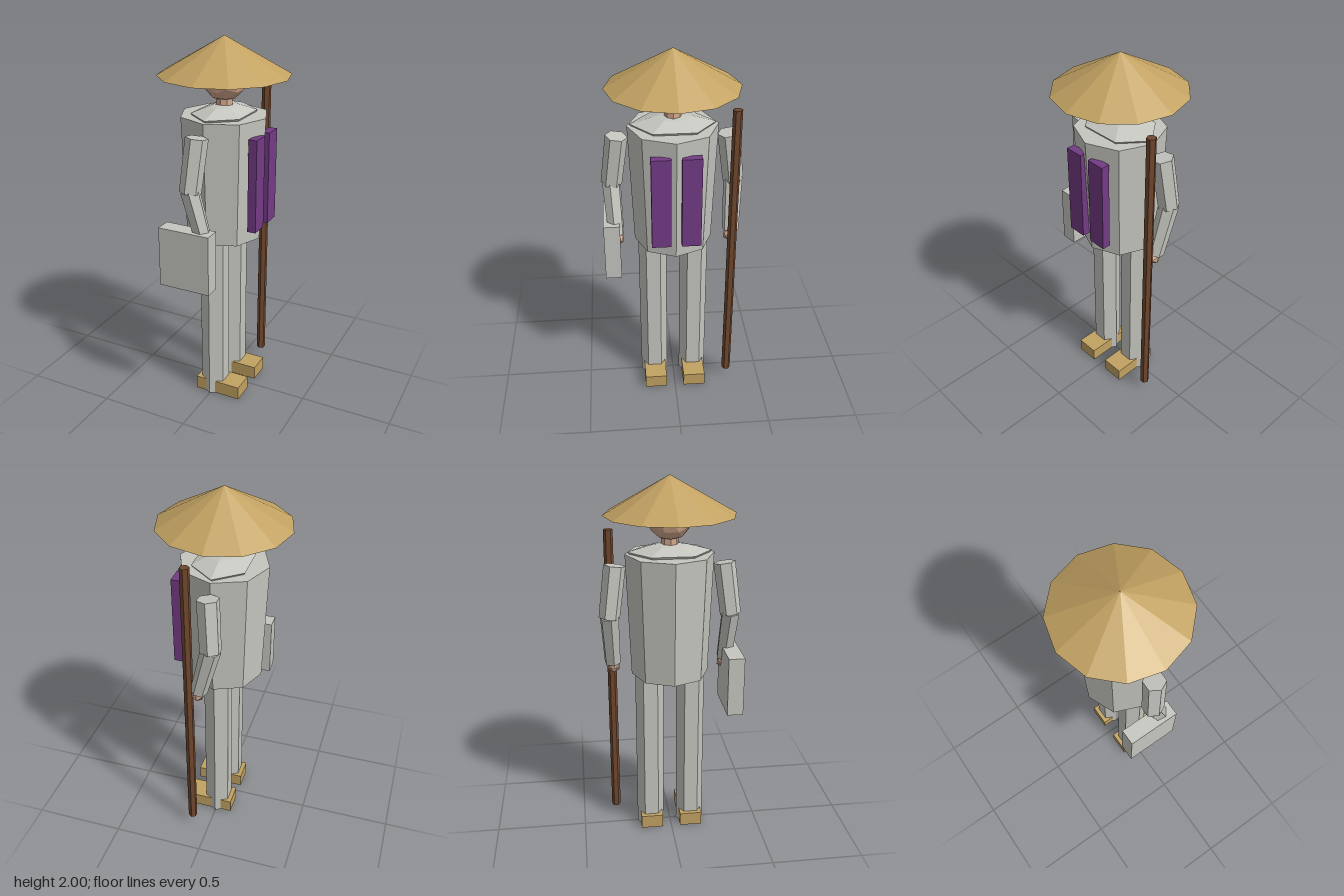
import * as THREE from 'three';

function makeMaterial(name, color) {
  const m = new THREE.MeshStandardMaterial({ color, flatShading: true });
  m.name = name;
  return m;
}

export function createModel() {
  const model = new THREE.Group();
  model.name = 'traveller';
  const cloth = makeMaterial('grey cloth', 0xc6c6c0);
  const straw = makeMaterial('straw', 0xc2a262);
  const skin = makeMaterial('skin', 0xd6ab90);
  const wood = makeMaterial('dark wood', 0x70482f);
  const purple = makeMaterial('purple cloth', 0x733b84);
  const black = makeMaterial('black hair', 0x14120f);

  const add = (name, geometry, material, x, y, z) => {
    const mesh = new THREE.Mesh(geometry, material);
    mesh.name = name;
    mesh.position.set(x, y, z);
    model.add(mesh);
    return mesh;
  };

  // Tapered prism running from point a to point b
  const limb = (name, a, b, ra, rb) => {
    const from = new THREE.Vector3(...a);
    const dir = new THREE.Vector3(...b).sub(from);
    const mid = from.clone().addScaledVector(dir, 0.5);
    const mesh = add(name, new THREE.CylinderGeometry(rb, ra, dir.length(), 6), cloth, mid.x, mid.y, mid.z);
    mesh.quaternion.setFromUnitVectors(new THREE.Vector3(0, 1, 0), dir.normalize());
  };

  // Hat, head and neck; the figure looks towards +x
  add('strawHat', new THREE.ConeGeometry(0.343, 0.195, 12), straw, 0, 1.9025, 0);
  add('head', new THREE.IcosahedronGeometry(0.115, 1), skin, 0, 1.787, 0);
  const hair = add('hair', new THREE.SphereGeometry(1, 10, 8), black, -0.06, 1.83, 0);
  hair.scale.set(0.098, 0.065, 0.115);
  add('nose', new THREE.ConeGeometry(0.03, 0.055, 4), skin, 0.113, 1.782, 0);
  add('neck', new THREE.CylinderGeometry(0.045, 0.045, 0.12, 8), skin, 0, 1.65, 0);

  // Robe and its sloping collar
  add('robe', new THREE.CylinderGeometry(0.233, 0.208, 0.66, 8), cloth, 0, 1.275, 0);
  const collarProfile = [[0.21, 0], [0.22, 0.012], [0.1, 0.045], [0, 0.06]]
    .map(([r, y]) => new THREE.Vector2(r, y));
  const collar = add('collar', new THREE.LatheGeometry(collarProfile, 6), cloth, 0, 1.604, 0);
  collar.scale.x = 0.72;

  // Paired parts
  for (const [side, s] of [['left', 1], ['right', -1]]) {
    add(side + 'Leg', new THREE.CylinderGeometry(0.077, 0.077, 0.98, 6), cloth, 0, 0.49, s * 0.113);
    add(side + 'Sandal', new THREE.BoxGeometry(0.265, 0.076, 0.124), straw, 0.042, 0.04, s * 0.112);
    add(side + 'SashPanel', new THREE.BoxGeometry(0.046, 0.495, 0.1), purple, 0.219, 1.277, s * 0.077);
    limb(side + 'UpperArm', [-0.006, 1.55, s * 0.286], [-0.028, 1.275, s * 0.322], 0.058, 0.056);
    limb(side + 'Forearm', [-0.03, 1.285, s * 0.322], [0.043, 1.0, s * 0.308], 0.052, 0.045);
    add(side + 'Hand', new THREE.IcosahedronGeometry(0.037, 0), skin, 0.05, 0.973, s * 0.302);
  }

  // Carried things
  add('shoulderBag', new THREE.BoxGeometry(0.286, 0.325, 0.087), cloth, -0.046, 0.912, 0.3315);
  add('staff', new THREE.CylinderGeometry(0.025, 0.025, 1.655, 6), wood, 0.099, 0.8875, -0.31);

  return model;
}
